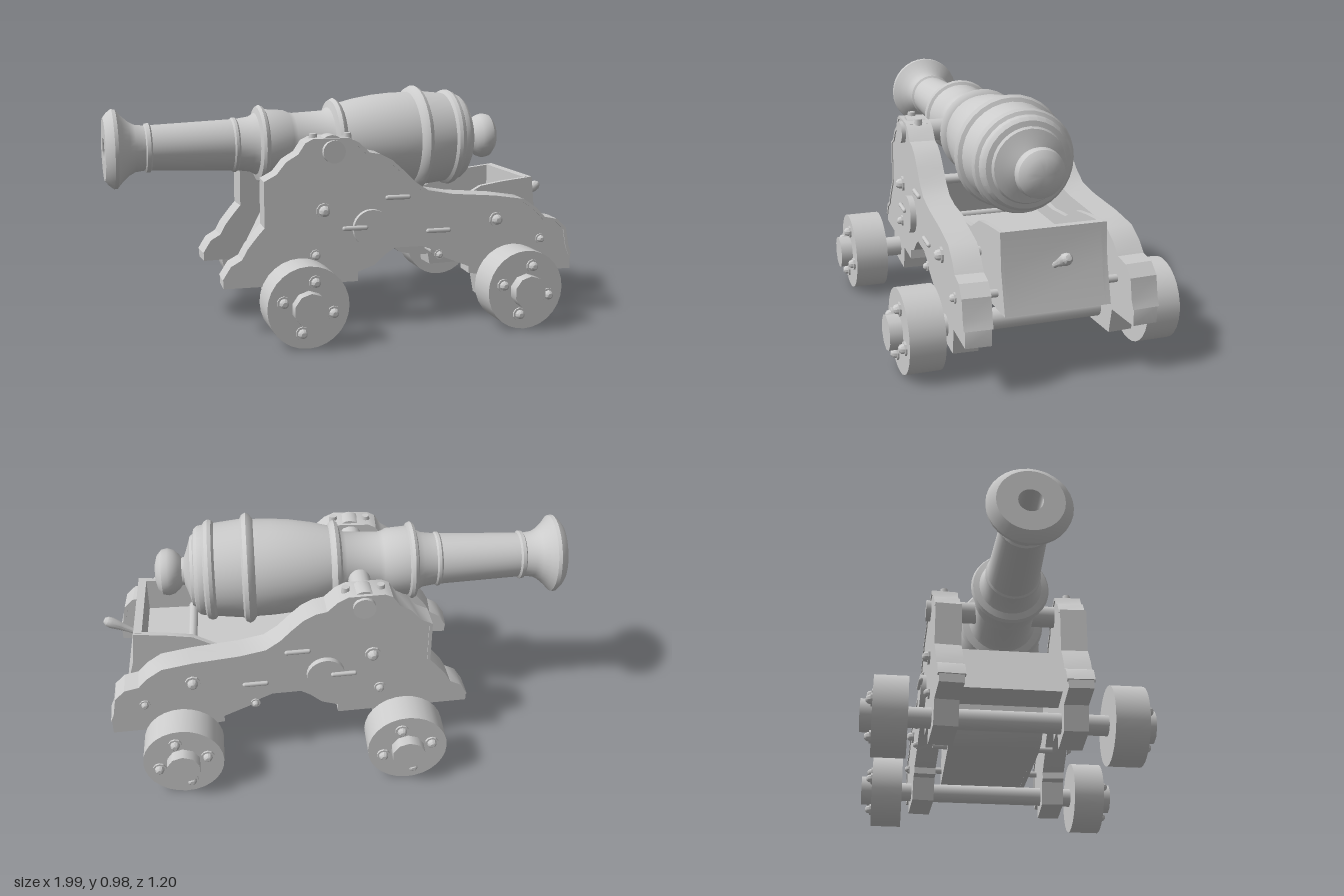
import * as THREE from 'three';
import { toCreasedNormals } from 'three/addons/utils/BufferGeometryUtils.js';

const material = new THREE.MeshStandardMaterial({ color: 0xcccccc });

function add(parent, name, geometry, x = 0, y = 0, z = 0) {
  const mesh = new THREE.Mesh(geometry, material);
  mesh.name = name;
  mesh.position.set(x, y, z);
  parent.add(mesh);
  return mesh;
}

// Side-view outline [x, y] extruded along z, centred on z = 0
function slab(points, depth) {
  const shape = new THREE.Shape(points.map(([x, y]) => new THREE.Vector2(x, y)));
  const g = new THREE.ExtrudeGeometry(shape, { depth, bevelEnabled: false });
  g.translate(0, 0, -depth / 2);
  return toCreasedNormals(g, 0.5);
}

// Cylinder lying along z
function rod(radius, length, sides = 16) {
  return new THREE.CylinderGeometry(radius, radius, length, sides).rotateX(Math.PI / 2);
}

function lathe(points, segments) {
  const g = new THREE.LatheGeometry(points.map(([y, r]) => new THREE.Vector2(r, y)), segments);
  return toCreasedNormals(g, 0.6);
}

// Washer and domed bolt head facing s along z
function bolt(parent, x, y, z, s, r = 0.02) {
  const g = lathe([[0, r * 1.4], [r * 0.4, r * 1.4], [r * 0.4, r], [r * 1, r * 0.85], [r * 1.35, r * 0.45], [r * 1.4, 0]], 10);
  g.rotateX(s * Math.PI / 2);
  add(parent, 'bolt', g, x, y, z);
}

const AXIS_Y = 0.75;
const AXLES = [-0.275, 0.66];
const WHEEL_Y = 0.168;
const TRUNNION_X = -0.108;

// [x, radius] from the bore end, round the muzzle, to the rear knob
const BARREL = [
  [-0.6, 0], [-0.6, 0.048], [-1, 0.048], [-1, 0.13], [-0.985, 0.15], [-0.965, 0.166], [-0.95, 0.164],
  [-0.93, 0.14], [-0.9, 0.113], [-0.875, 0.099], [-0.835, 0.094], [-0.83, 0.102], [-0.815, 0.104],
  [-0.808, 0.095], [-0.47, 0.109], [-0.463, 0.116], [-0.452, 0.116], [-0.445, 0.11], [-0.39, 0.118],
  [-0.365, 0.132], [-0.357, 0.158], [-0.345, 0.166], [-0.332, 0.16], [-0.325, 0.148], [-0.24, 0.142],
  [-0.22, 0.132], [-0.2, 0.128], [-0.06, 0.135], [-0.04, 0.148], [-0.03, 0.178], [-0.015, 0.187],
  [0, 0.178], [0.008, 0.165], [0.08, 0.183], [0.17, 0.198], [0.25, 0.205], [0.325, 0.207],
  [0.338, 0.226], [0.355, 0.235], [0.372, 0.226], [0.38, 0.21], [0.49, 0.198], [0.5, 0.21],
  [0.515, 0.213], [0.53, 0.206], [0.538, 0.192], [0.56, 0.189], [0.575, 0.176], [0.58, 0.155],
  [0.592, 0.148], [0.6, 0.12], [0.612, 0.085], [0.622, 0.06], [0.632, 0.058], [0.645, 0.075],
  [0.665, 0.092], [0.69, 0.1], [0.715, 0.095], [0.735, 0.072], [0.744, 0.04], [0.747, 0],
];

// Upper edge of a cheek, muzzle end to rear
const CHEEK_TOP = [
  [-0.565, 0.235], [-0.53, 0.29], [-0.485, 0.315], [-0.46, 0.36], [-0.42, 0.41], [-0.39, 0.445],
  [-0.39, 0.635], [-0.34, 0.66], [-0.3, 0.71], [-0.25, 0.74], [-0.22, 0.785], [-0.19, 0.8], [-0.04, 0.8],
  [0, 0.78], [0.045, 0.738], [0.09, 0.73], [0.14, 0.705], [0.19, 0.66], [0.24, 0.61], [0.3, 0.57],
  [0.41, 0.55], [0.6, 0.535], [0.73, 0.515], [0.79, 0.475], [0.83, 0.432], [0.89, 0.42],
  [0.93, 0.38], [0.945, 0.3], [0.96, 0.265],
];

// Lower edge, rear to muzzle end, with a foot over each axle
const CHEEK_BOTTOM = [
  [0.96, 0.2], [0.79, 0.2], [0.77, 0.095], [0.55, 0.095], [0.53, 0.2], [0.49, 0.205], [0.49, 0.235],
  [0.38, 0.28], [0.33, 0.315], [0.28, 0.335], [0.16, 0.335], [0.12, 0.31], [0.07, 0.265], [0, 0.24],
  [0, 0.2], [-0.15, 0.2], [-0.17, 0.095], [-0.38, 0.095], [-0.4, 0.2], [-0.565, 0.2],
];

// Moves a left-to-right path down along its normals
function offsetPath(path, d) {
  return path.map(([x, y], i) => {
    const a = path[Math.max(i - 1, 0)], b = path[Math.min(i + 1, path.length - 1)];
    const tx = b[0] - a[0], ty = b[1] - a[1], len = Math.hypot(tx, ty);
    return [x + ty / len * d, y - tx / len * d];
  });
}

function cheek(s) {
  const group = new THREE.Group();
  group.name = s > 0 ? 'frontCheek' : 'backCheek';
  group.position.z = s * 0.28;
  group.rotation.y = -s * 0.052; // the cheeks spread towards the rear
  const face = s * 0.05;
  add(group, 'cheekBoard', slab([...CHEEK_TOP, ...CHEEK_BOTTOM], 0.1));
  const trim = [...offsetPath(CHEEK_TOP, -0.004), ...offsetPath(CHEEK_TOP, 0.01).reverse()];
  add(group, 'cheekTrim', slab(trim, 0.11));

  // Strap over the trunnion with its two bolts
  const strap = [[-0.19, 0.8], [-0.16, 0.803]];
  for (let i = 0; i <= 8; i++) {
    const a = Math.PI * (1 - i / 8);
    strap.push([TRUNNION_X + 0.054 * Math.cos(a), AXIS_Y + 0.012 + 0.054 * Math.sin(a)]);
  }
  strap.push([-0.055, 0.803], [-0.03, 0.8], [-0.03, 0.775], [-0.19, 0.775]);
  add(group, 'trunnionStrap', slab(strap, 0.08));
  for (const x of [-0.18, -0.035]) {
    add(group, 'strapBolt', new THREE.CylinderGeometry(0.016, 0.02, 0.04, 8), x, 0.8, 0);
  }

  // Outer fittings
  for (const [x, y, r] of [[-0.145, 0.505, 0.024], [-0.18, 0.32, 0.018], [0.355, 0.295, 0.015], [0.61, 0.435, 0.023], [0.815, 0.34, 0.016]]) {
    bolt(group, x, y, face, s, r);
  }
  add(group, 'roundBoss', rod(0.08, 0.05, 24), 0.055, 0.425, face);
  for (const [x, y, z] of [[-0.02, 0.433, 0.025], [0.17, 0.55, 0], [0.35, 0.4, 0]]) {
    const bar = new THREE.CapsuleGeometry(0.01, 0.09, 4, 8).rotateZ(Math.PI / 2);
    add(group, 'ironBar', bar, x, y, face + s * (z + 0.004));
  }
  return group;
}

function wheel(x, s) {
  const group = new THREE.Group();
  group.name = 'wheel';
  group.position.set(x, WHEEL_Y, s * 0.48);
  add(group, 'wheelDisc', rod(0.167, 0.14, 28));
  add(group, 'axleEnd', rod(0.07, 0.12, 10), 0, 0, s * 0.06);
  for (let i = 0; i < 4; i++) {
    const a = 1.31 + i * Math.PI / 2;
    bolt(group, 0.105 * Math.cos(a), 0.105 * Math.sin(a), s * 0.07, s, 0.02);
  }
  return group;
}

export function createModel() {
  const model = new THREE.Group();
  model.name = 'cannon';

  // Barrel and trunnions
  add(model, 'barrel', lathe(BARREL, 32).rotateZ(-Math.PI / 2), 0, AXIS_Y, 0);
  add(model, 'trunnions', rod(0.047, 0.69, 20), TRUNNION_X, AXIS_Y, 0);

  // Carriage cheeks, axles and wheels
  for (const s of [1, -1]) {
    model.add(cheek(s));
    for (const x of AXLES) model.add(wheel(x, s));
  }
  for (const x of AXLES) add(model, 'axle', rod(0.043, 0.9, 16), x, WHEEL_Y, 0);

  // Front cross piece
  add(model, 'transom', slab([[-0.37, 0.27], [-0.2, 0.27], [-0.13, 0.5], [-0.25, 0.5]], 0.46));

  // Cross rods between the cheeks
  for (const [x, y, r, len] of [[-0.145, 0.505, 0.02, 0.5], [-0.18, 0.32, 0.016, 0.5], [0.355, 0.295, 0.015, 0.56], [0.61, 0.435, 0.02, 0.58], [0.815, 0.34, 0.016, 0.6]]) {
    add(model, 'crossRod', rod(r, len, 10), x, y, 0);
  }

  // Open tray under the breech
  const side = [[0.165, 0.335], [0.165, 0.5], [0.35, 0.485], [0.5, 0.5], [0.6, 0.555], [0.7, 0.57],
    [0.845, 0.585], [0.86, 0.44], [0.905, 0.277], [0.3, 0.265], [0.22, 0.285]];
  for (const s of [1, -1]) add(model, 'traySide', slab(side, 0.022), 0, 0, s * 0.2);
  add(model, 'trayFloor', slab([[0.165, 0.335], [0.165, 0.43], [0.82, 0.43], [0.87, 0.277], [0.3, 0.265], [0.22, 0.285]], 0.4));
  add(model, 'trayBack', slab([[0.81, 0.4], [0.81, 0.583], [0.845, 0.585], [0.86, 0.44], [0.905, 0.277], [0.8, 0.277]], 0.4));

  // Rear handle
  const handle = lathe([[0, 0.012], [0.03, 0.012], [0.08, 0.018], [0.12, 0.024], [0.14, 0.021], [0.152, 0.012], [0.155, 0]], 12);
  add(model, 'handle', handle, 0.855, 0.44, 0).rotation.z = -1.06;

  return model;
}
